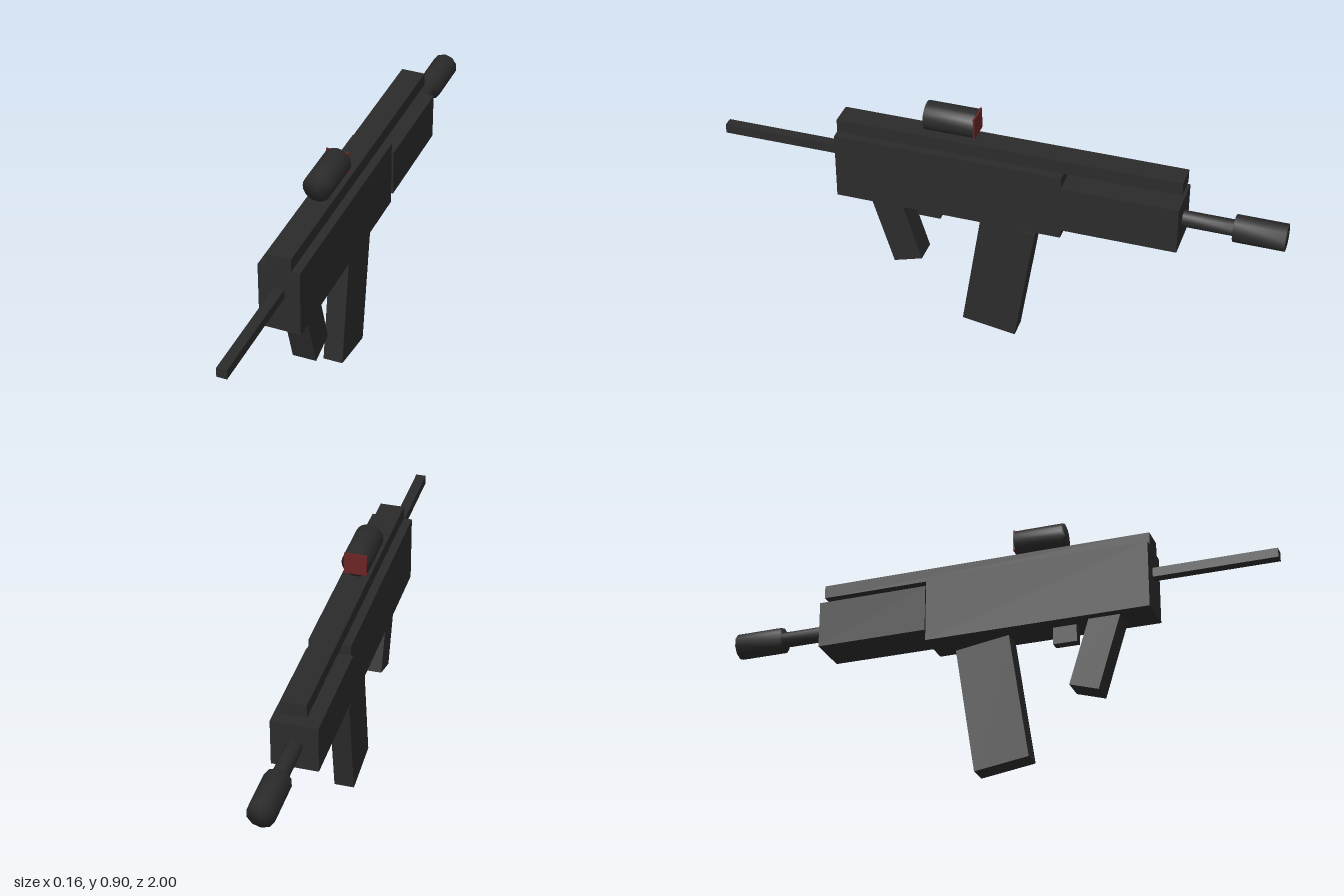
import * as THREE from 'three';
import { mergeVertices } from 'three/addons/utils/BufferGeometryUtils.js';

export function createModel() {
  const model = new THREE.Group();
  model.name = 'rifle';

  const gunmetal = new THREE.MeshStandardMaterial({ color: 0x2b2b2b });
  gunmetal.name = 'gunmetal';
  const lensRed = new THREE.MeshStandardMaterial({ color: 0x6b2424 });
  lensRed.name = 'lens red';

  function add(name, geometry, y, z, material = gunmetal) {
    const mesh = new THREE.Mesh(geometry, material);
    mesh.name = name;
    mesh.position.set(0, y, z);
    model.add(mesh);
    return mesh;
  }

  // Box given by its width and its extents in y and z
  function block(name, width, y0, y1, z0, z1, material) {
    return add(name, new THREE.BoxGeometry(width, y1 - y0, z1 - z0), (y0 + y1) / 2, (z0 + z1) / 2, material);
  }

  // Box leaning in the side plane
  function leaning(name, width, height, depth, y, z, tilt) {
    add(name, new THREE.BoxGeometry(width, height, depth), y, z).rotation.x = tilt;
  }

  // Cylinder along z, smoothed over its end caps
  function tube(name, radius, sides, y, z0, z1) {
    let g = new THREE.CylinderGeometry(radius, radius, z1 - z0, sides);
    g.deleteAttribute('normal');
    g.deleteAttribute('uv');
    g = mergeVertices(g);
    g.computeVertexNormals();
    g.rotateX(Math.PI / 2);
    add(name, g, y, (z0 + z1) / 2);
  }

  // Body
  block('receiver', 0.146, 0.5, 0.745, -0.245, 0.565);
  block('handguard', 0.16, 0.537, 0.708, -0.65, -0.245);
  block('topRail', 0.086, 0.745, 0.793, -0.65, 0.565);
  block('stockRod', 0.036, 0.634, 0.668, 0.565, 1);

  // Barrel and muzzle
  tube('barrel', 0.028, 10, 0.624, -0.83, -0.645);
  tube('muzzle', 0.047, 10, 0.624, -1, -0.825);

  // Sight with its square lens
  tube('scope', 0.05, 20, 0.853, 0.074, 0.25);
  block('scopeLens', 0.08, 0.814, 0.892, 0.068, 0.075, lensRed);

  // Parts below the receiver
  leaning('grip', 0.086, 0.3, 0.108, 0.394, 0.364, 0.3);
  leaning('magazine', 0.072, 0.464, 0.197, 0.245, -0.012, -0.15);
  block('trigger', 0.034, 0.437, 0.5, 0.205, 0.29);

  return model;
}
